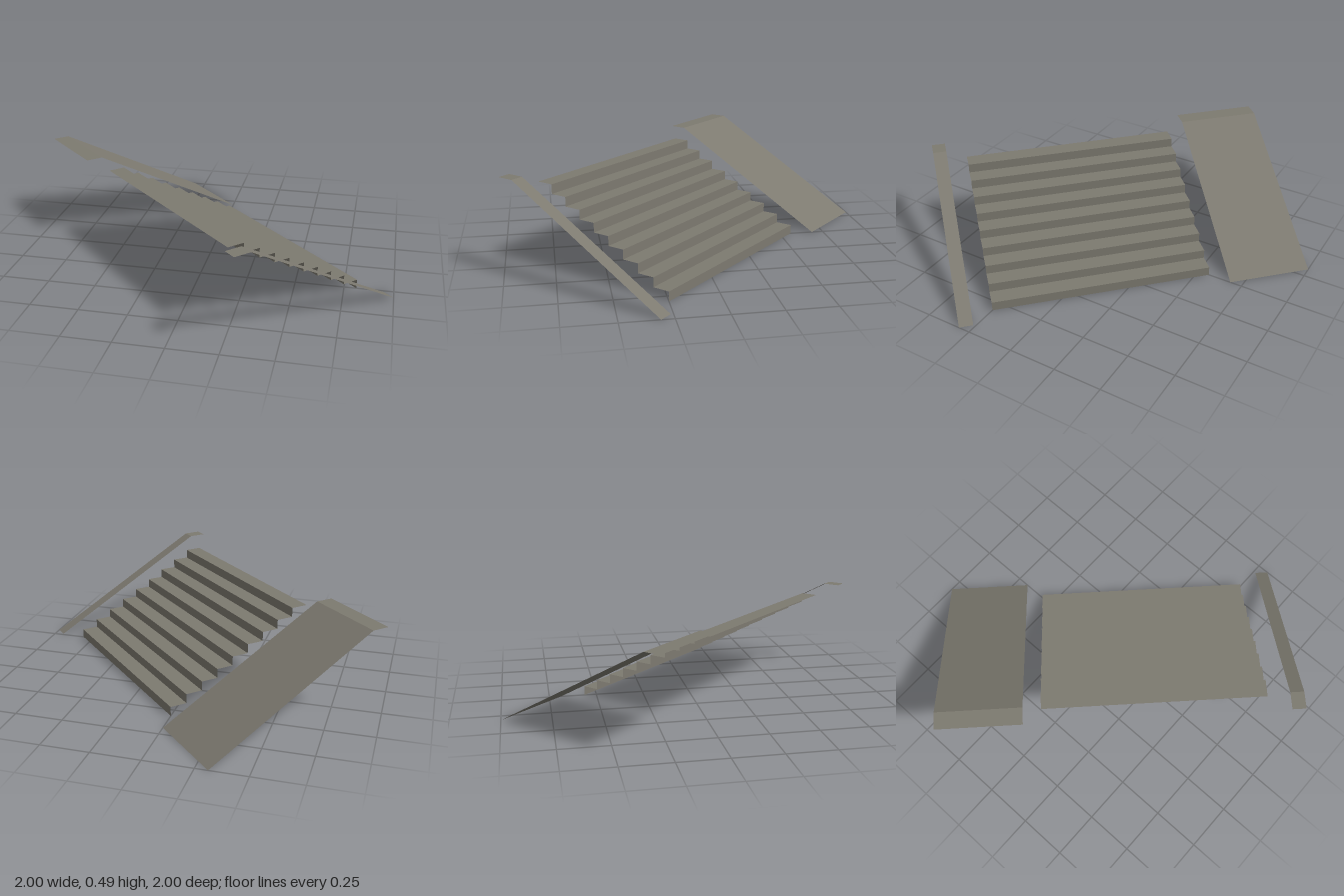
import * as THREE from 'three';

const RUN = 0.0625, RISE = 0.0489, STEPS = 9;

// Open sheet: a (distance uphill, height) profile swept across the width w0..w1.
// The flight runs diagonally, climbing towards -x +z.
function sheet(name, profile, w0, w1, material) {
  const point = (w, [s, y]) => [w - s, y, w + s - 0.6875];
  const positions = [];
  for (let i = 0; i < profile.length - 1; i++) {
    const a = point(w0, profile[i]), b = point(w1, profile[i]);
    const c = point(w1, profile[i + 1]), d = point(w0, profile[i + 1]);
    positions.push(...a, ...c, ...b, ...a, ...d, ...c);
  }
  const geometry = new THREE.BufferGeometry();
  geometry.setAttribute('position', new THREE.Float32BufferAttribute(positions, 3));
  geometry.computeVertexNormals();
  const mesh = new THREE.Mesh(geometry, material);
  mesh.name = name;
  return mesh;
}

export function createModel() {
  const group = new THREE.Group();
  group.name = 'staircase';
  const stone = new THREE.MeshStandardMaterial({ color: 0x7d7a70, side: THREE.DoubleSide });
  stone.name = 'stone grey';

  // Risers and treads
  const stepProfile = [[RUN, 0]];
  for (let i = 0; i < STEPS; i++) {
    stepProfile.push([RUN * (i + 1), RISE * (i + 1)], [RUN * (i + 2), RISE * (i + 1)]);
  }
  group.add(sheet('steps', stepProfile, 0.0625, 0.875, stone));

  // Sloping side tops, each ending in a short level piece
  const slope = [[0, 0], [RUN * 10, RISE * 10], [RUN * 11, RISE * 10]];
  group.add(sheet('wideSideRamp', slope, -0.3125, 0, stone));
  group.add(sheet('narrowSideRail', slope, 0.95, 1, stone));
  return group;
}
